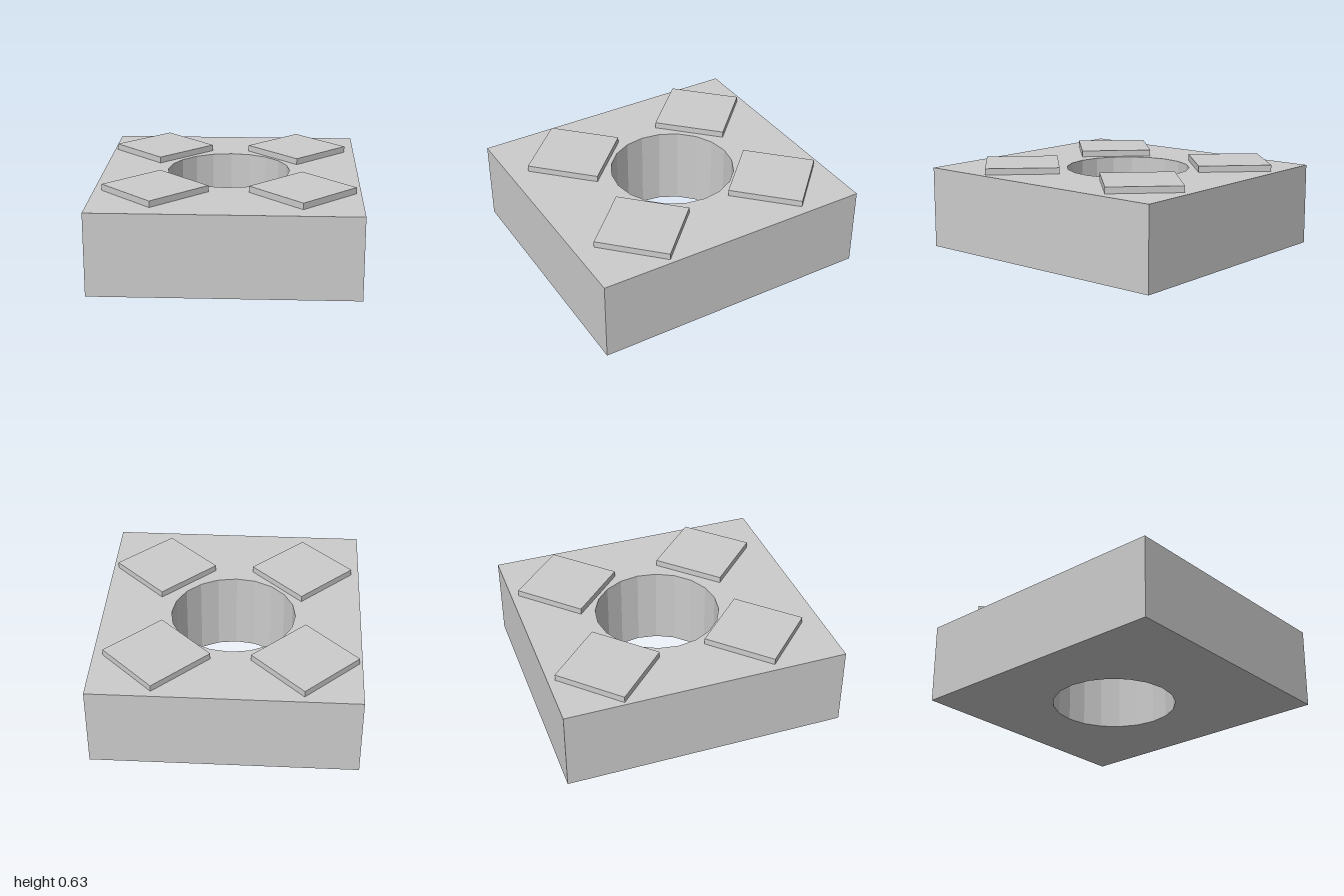
import * as THREE from 'three';

export function createModel() {
  const model = new THREE.Group();
  const material = new THREE.MeshStandardMaterial({ color: 0xcccccc, flatShading: true });
  const halfW = 0.92, halfD = 1, blockH = 0.583, padH = 0.045;

  // Block outline seen from above (shape y becomes -z)
  const outline = new THREE.Shape([
    new THREE.Vector2(-halfW, -halfD), new THREE.Vector2(halfW, -halfD),
    new THREE.Vector2(halfW, halfD), new THREE.Vector2(-halfW, halfD),
  ]);

  // Twenty-sided through hole, slightly off centre
  const sides = 20, radius = 0.443;
  const rim = [];
  for (let i = 0; i < sides; i++) {
    const a = -i / sides * Math.PI * 2;
    rim.push(new THREE.Vector2(-0.013 + radius * Math.cos(a), 0.052 + radius * Math.sin(a)));
  }
  outline.holes.push(new THREE.Path(rim));

  const blockGeometry = new THREE.ExtrudeGeometry(outline, { depth: blockH, bevelEnabled: false });
  blockGeometry.rotateX(-Math.PI / 2);
  const block = new THREE.Mesh(blockGeometry, material);
  block.name = 'block';
  model.add(block);

  // Four thin square pads turned by 45 degrees
  const side = 0.368 * Math.SQRT2;
  const padGeometry = new THREE.BoxGeometry(side, padH, side).rotateY(Math.PI / 4);
  const pads = [
    ['backRightPad', -0.53, -0.58], ['backLeftPad', 0.483, -0.58],
    ['frontRightPad', -0.496, 0.496], ['frontLeftPad', 0.518, 0.496],
  ];
  for (const [name, x, z] of pads) {
    const pad = new THREE.Mesh(padGeometry, material);
    pad.name = name;
    pad.position.set(x, blockH + padH / 2, z);
    model.add(pad);
  }
  return model;
}
